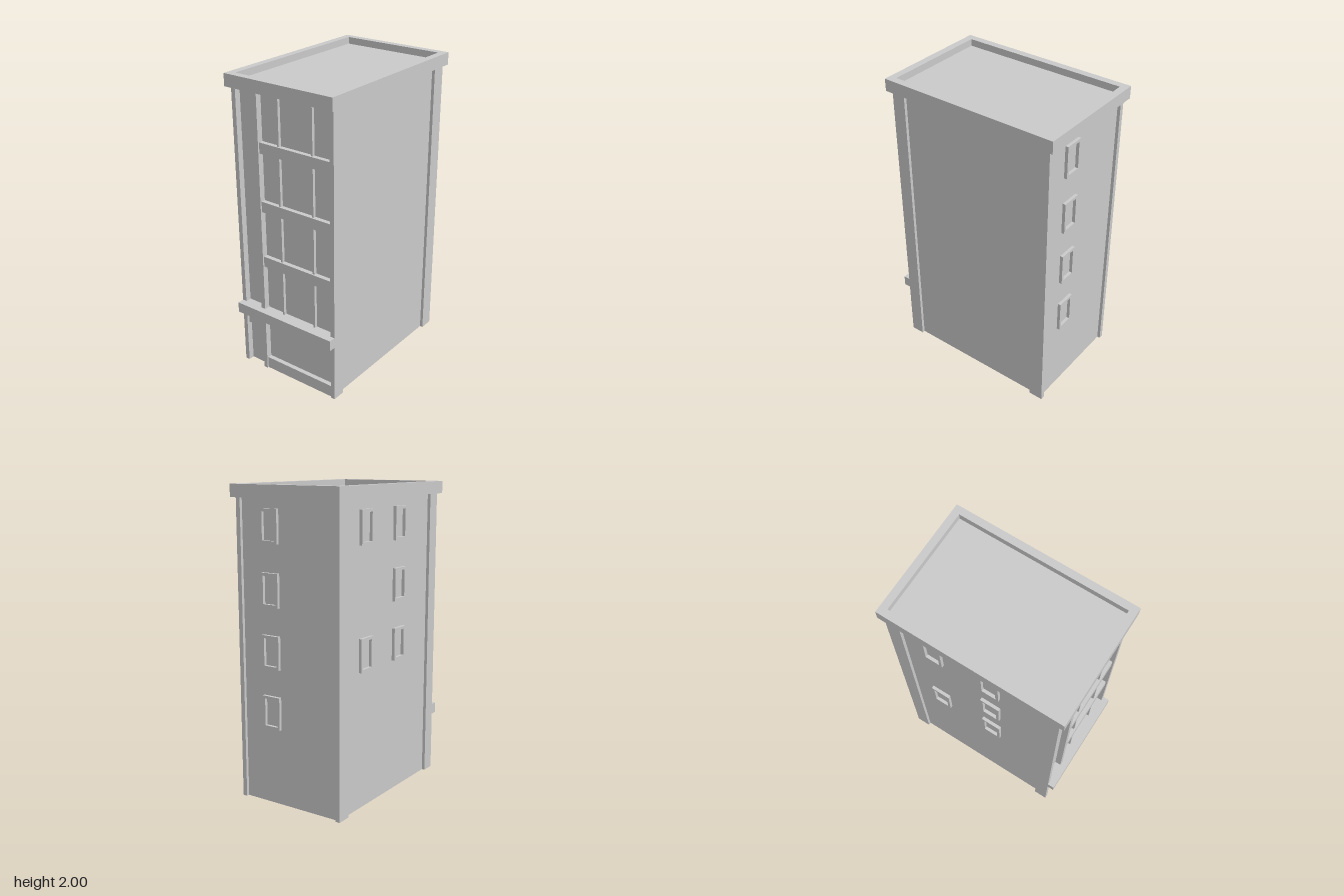
import * as THREE from 'three';

export function createModel() {
  const building = new THREE.Group();
  building.name = 'building';
  const solid = new THREE.MeshStandardMaterial({ color: 0xcccccc, flatShading: true });
  const thin = new THREE.MeshStandardMaterial({ color: 0xcccccc, flatShading: true, side: THREE.DoubleSide });

  const add = (name, geometry, material = solid) => {
    const mesh = new THREE.Mesh(geometry, material);
    mesh.name = name;
    building.add(mesh);
    return mesh;
  };
  // Box given by its extents on each axis
  const block = (name, x0, x1, y0, y1, z0, z1) =>
    add(name, new THREE.BoxGeometry(x1 - x0, y1 - y0, z1 - z0))
      .position.set((x0 + x1) / 2, (y0 + y1) / 2, (z0 + z1) / 2);
  // Rectangular frame in the xy plane, extruded along +z
  const frame = (w, h, border, depth) => {
    const rect = (T, a, b) => new T([[-a, -b], [a, -b], [a, b], [-a, b]].map(p => new THREE.Vector2(...p)));
    const shape = rect(THREE.Shape, w / 2, h / 2);
    shape.holes.push(rect(THREE.Path, w / 2 - border, h / 2 - border));
    return new THREE.ExtrudeGeometry(shape, { depth, bevelEnabled: false });
  };

  const top = 1.92, wallX = 0.36, wallBack = -0.56, wallFront = 0.525;

  // Thin outer walls, open at the bottom
  const wall = (name, width, x, z, turn) => {
    const mesh = add(name, new THREE.PlaneGeometry(width, top), thin);
    mesh.position.set(x, top / 2, z);
    mesh.rotation.y = turn;
  };
  const wallDepth = wallFront - wallBack, midZ = (wallFront + wallBack) / 2;
  wall('frontWall', 2 * wallX, 0, wallFront, 0);
  wall('backWall', 2 * wallX, 0, wallBack, Math.PI);
  wall('leftWall', wallDepth, wallX, midZ, Math.PI / 2);
  wall('rightWall', wallDepth, -wallX, midZ, -Math.PI / 2);

  // Corner pillars and the pillar beside the entrance
  for (const [x0, x1] of [[-0.38, -0.35], [0.35, 0.38]]) {
    block('frontPillar', x0, x1, 0, top, 0.475, 0.565);
    block('backPillar', x0, x1, 0, top, -0.58, -0.485);
  }
  block('entrancePillar', -0.215, -0.185, 0, top, 0.475, 0.565);

  // Floor bands, window mullions and ground floor trim
  for (const y of [0.77, 1.15, 1.535]) block('floorBand', -0.185, 0.35, y, y + 0.07, 0.475, 0.555);
  for (const x of [-0.045, 0.207]) block('mullion', x - 0.006, x + 0.006, 0.46, top, 0.51, 0.545);
  block('ledge', -0.38, 0.38, 0.39, 0.46, 0.475, 0.61);
  block('shopPlinth', -0.185, 0.35, 0, 0.08, 0.475, 0.555);
  block('doorLintel', -0.35, -0.215, 0.29, 0.39, 0.475, 0.545);

  // Raised parapet around a sunken roof
  const parapet = add('parapet', frame(0.8, 1.21, 0.048, 2 - top));
  parapet.rotation.x = -Math.PI / 2;
  parapet.position.set(0, top, -0.005);
  block('roof', -0.36, 0.36, top, 1.955, -0.57, 0.56);

  // Window frames on the back and on the right side
  const windowFrame = frame(0.13, 0.21, 0.018, 0.025);
  const floors = [0.6, 0.985, 1.37, 1.755];
  const addWindow = (x, y, z, turn) => {
    const mesh = add('windowFrame', windowFrame);
    mesh.position.set(x, y, z);
    mesh.rotation.y = turn;
  };
  floors.forEach(y => addWindow(0.135, y, wallBack + 0.005, Math.PI));
  floors.slice(1).forEach(y => addWindow(0.005 - wallX, y, 0.105, -Math.PI / 2));
  [floors[1], floors[3]].forEach(y => addWindow(0.005 - wallX, y, -0.28, -Math.PI / 2));

  return building;
}
